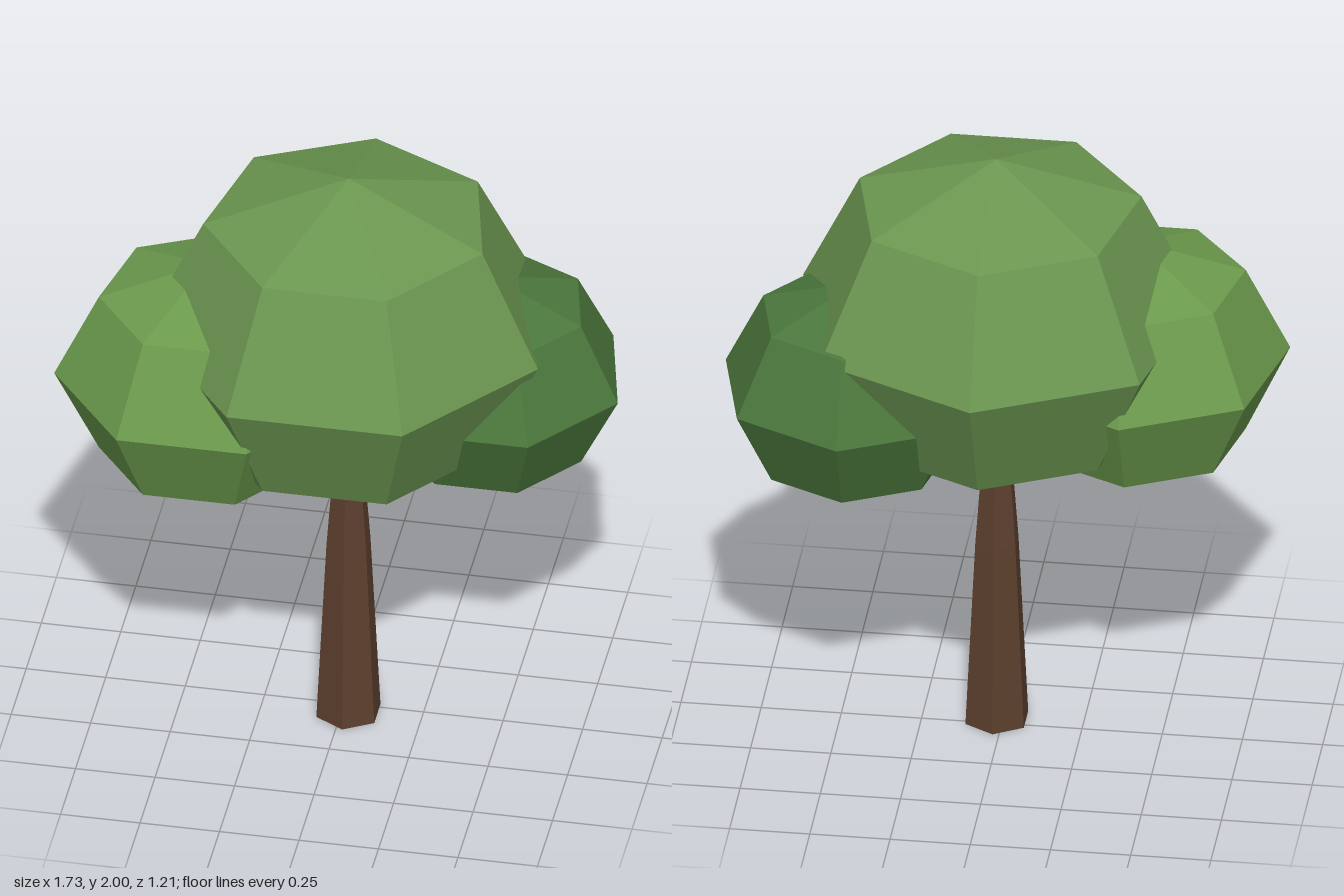
import * as THREE from 'three';

const flat = (color) => new THREE.MeshStandardMaterial({ color, flatShading: true });

// Seven-sided, slightly squashed leaf ball with one corner pointing to the back
function leafBall(name, radius, x, y, z, color) {
  const geometry = new THREE.SphereGeometry(radius, 7, 4, Math.PI * 1.5);
  geometry.scale(1, 0.85, 1);
  const mesh = new THREE.Mesh(geometry, flat(color));
  mesh.name = name;
  mesh.position.set(x, y, z);
  return mesh;
}

export function createModel() {
  const tree = new THREE.Group();
  tree.name = 'tree';

  // Hexagonal trunk, tapering faster near the crown, closed at both ends
  const profile = [[0, 0], [0.105, 0], [0.072, 0.64], [0.048, 0.95], [0.035, 1.15], [0, 1.15]]
    .map(([r, y]) => new THREE.Vector2(r, y));
  const trunk = new THREE.Mesh(new THREE.LatheGeometry(profile, 6), flat(0x5c3f2e));
  trunk.name = 'trunk';
  trunk.position.set(0.02, 0, 0.035);
  tree.add(trunk);

  // Foliage: a large central crown and two smaller side clumps
  tree.add(
    leafBall('mainCrown', 0.637, 0.02, 1.46, 0.027, 0x6b9650),
    leafBall('rightClump', 0.472, -0.41, 1.285, 0.115, 0x6b9a4c),
    leafBall('leftClump', 0.423, 0.447, 1.24, -0.1, 0x4b773c),
  );
  return tree;
}
